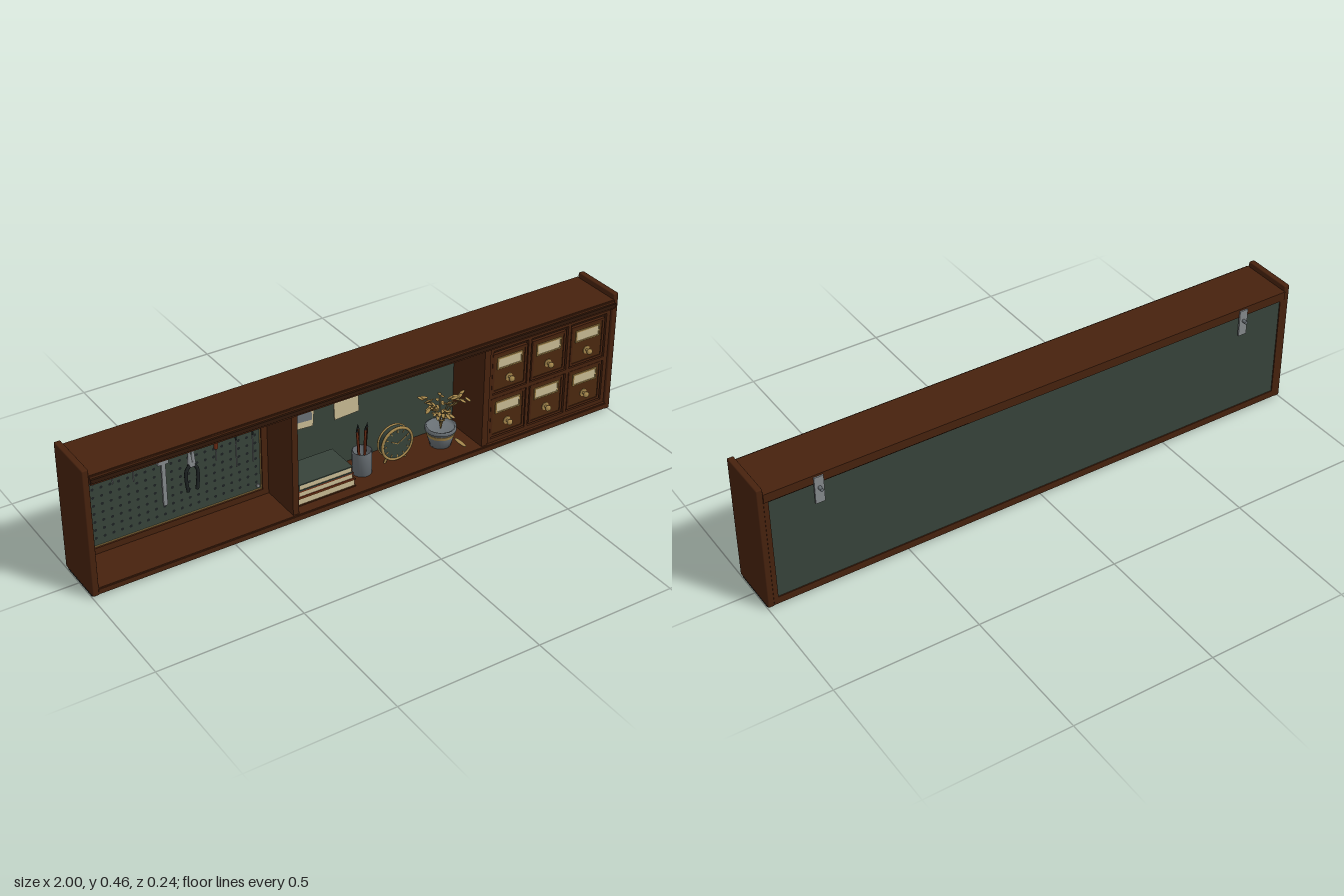
import * as THREE from 'three';
import { mergeGeometries } from 'three/addons/utils/BufferGeometryUtils.js';
import { RoundedBoxGeometry } from 'three/addons/geometries/RoundedBoxGeometry.js';

const mat = (name, color, side = THREE.FrontSide) => {
  const m = new THREE.MeshStandardMaterial({ color, side });
  m.name = name;
  return m;
};

export function createModel() {
  const wood = mat('walnut', 0x47220e), darkWood = mat('dark walnut', 0x2e1608);
  const drawerWood = mat('drawer wood', 0x4c290f), handleRed = mat('red handle', 0x6e2c14);
  const green = mat('green panel', 0x37433a), steel = mat('steel', 0x85898c);
  const iron = mat('black iron', 0x1d2223), slate = mat('slate', 0x6a7176);
  const brass = mat('brass', 0xa5874c, THREE.DoubleSide), cream = mat('cream paper', 0xc9bb93);

  const model = new THREE.Group();
  model.name = 'wallCabinet';
  const group = (name, parent = model) => {
    const g = new THREE.Group();
    g.name = name;
    parent.add(g);
    return g;
  };
  const add = (name, geo, m, x = 0, y = 0, z = 0, parent = model) => {
    const mesh = new THREE.Mesh(geo, m);
    mesh.name = name;
    mesh.position.set(x, y, z);
    parent.add(mesh);
    return mesh;
  };
  // box given by its limits
  const block = (name, m, x0, x1, y0, y1, z0, z1, parent = model) =>
    add(name, new THREE.BoxGeometry(x1 - x0, y1 - y0, z1 - z0), m,
      (x0 + x1) / 2, (y0 + y1) / 2, (z0 + z1) / 2, parent);
  const rod = (r0, r1, h, n = 12) => new THREE.CylinderGeometry(r0, r1, h, n);
  const rodZ = (r, h, n = 16) => rod(r, r, h, n).rotateX(Math.PI / 2);
  // four strips around a rectangle
  const border = (name, m, x0, x1, y0, y1, z0, z1, w, parent = model) => {
    const g = group(name, parent);
    block('topStrip', m, x0, x1, y1 - w, y1, z0, z1, g);
    block('bottomStrip', m, x0, x1, y0, y0 + w, z0, z1, g);
    block('sideStrip', m, x0, x0 + w, y0 + w, y1 - w, z0, z1, g);
    block('sideStrip', m, x1 - w, x1, y0 + w, y1 - w, z0, z1, g);
  };

  // carcass
  for (const s of [-1, 1]) {
    add('sidePanel', new RoundedBoxGeometry(0.022, 0.457, 0.19, 2, 0.004), wood, s * 0.989, 0.2345, 0.002);
    block('footPad', iron, s * 0.989 - 0.009, s * 0.989 + 0.009, 0, 0.007, -0.08, 0.084);
  }
  block('topBoard', wood, -0.98, 0.98, 0.413, 0.444, -0.097, 0.1);
  block('topRail', wood, -0.98, 0.98, 0.411, 0.441, 0.1, 0.105);
  block('topBead', darkWood, -0.98, 0.98, 0.42, 0.434, 0.105, 0.112);
  block('bottomBoard', wood, -0.98, 0.98, 0.01, 0.034, -0.093, 0.097);
  block('bottomBead', wood, -0.98, 0.98, 0.022, 0.03, 0.097, 0.1);
  block('backPanel', green, -0.98, 0.98, 0.034, 0.413, -0.09, -0.08);
  border('backFrame', wood, -0.98, 0.98, 0.02, 0.425, -0.094, -0.089, 0.016);
  block('leftDivider', wood, -0.29, -0.268, 0.034, 0.413, -0.08, 0.092);
  block('rightDivider', wood, 0.45, 0.474, 0.034, 0.413, -0.08, 0.092);

  // wall hangers
  for (const x of [-0.8, 0.8]) {
    const h = group('wallHanger');
    block('plate', steel, x - 0.016, x + 0.016, 0.34, 0.437, -0.102, -0.096, h);
    add('stud', rodZ(0.006, 0.018), slate, x, 0.397, -0.109, h);
  }

  // pegboard with holes
  const peg = group('pegboard');
  block('board', green, -0.95, -0.305, 0.055, 0.395, -0.08, -0.068, peg);
  border('frame', wood, -0.972, -0.292, 0.036, 0.41, -0.08, -0.058, 0.022, peg);
  border('trim', brass, -0.952, -0.312, 0.056, 0.39, -0.068, -0.064, 0.004, peg);
  const holes = [];
  for (let i = 0; i < 21; i++)
    for (let j = 0; j < 10; j++)
      holes.push(new THREE.CircleGeometry(0.0055, 10).translate(-0.932 + i * 0.03, 0.088 + j * 0.03, -0.0672));
  add('holes', mergeGeometries(holes), iron, 0, 0, 0, peg);
  for (const x of [-0.937, -0.327])
    for (const y of [0.073, 0.375]) add('screw', rodZ(0.006, 0.006), steel, x, y, -0.066, peg);

  // hanging tools
  const tools = group('tools');
  const TZ = -0.05;
  const hook = x => add('hook', rodZ(0.003, 0.03, 8), steel, x, 0.368, -0.055, tools);
  const driver = (x, top, hl, sl, r, m) => {
    hook(x);
    add('handle', rod(r, r * 0.75, hl), m, x, top - hl / 2, TZ, tools);
    add('shaft', rod(0.0025, 0.0025, sl, 8), steel, x, top - hl - sl / 2, TZ, tools);
  };
  [-0.905, -0.84, -0.77].forEach((x, i) => {
    driver(x, 0.365, 0.05 + i * 0.005, 0.02 + i * 0.012, 0.009, iron);
    add('ring', new THREE.TorusGeometry(0.012, 0.0025, 6, 16), steel, x, 0.35, TZ + 0.01, tools);
  });
  driver(-0.482, 0.36, 0.08, 0.045, 0.009, handleRed);
  [-0.41, -0.35].forEach(x => driver(x, 0.355, 0.07, 0.1, 0.004, iron));
  hook(-0.668);
  block('caliperBeam', steel, -0.675, -0.661, 0.135, 0.365, TZ - 0.004, TZ + 0.004, tools);
  block('caliperJaw', steel, -0.7, -0.636, 0.325, 0.34, TZ - 0.004, TZ + 0.005, tools);
  block('caliperSlide', steel, -0.688, -0.652, 0.29, 0.315, TZ - 0.006, TZ + 0.007, tools);
  hook(-0.57);
  const pliers = group('pliers', tools);
  for (const s of [-1, 1]) {
    const arm = new THREE.CatmullRomCurve3([[0, 0.255], [0.018, 0.235], [0.021, 0.2], [0.016, 0.155]]
      .map(([x, y]) => new THREE.Vector3(-0.57 + s * x, y, TZ)));
    add('grip', new THREE.TubeGeometry(arm, 12, 0.006, 8), iron, 0, 0, 0, pliers);
    add('jaw', rod(0.003, 0.009, 0.055, 8), steel, -0.57 + s * 0.006, 0.285, TZ, pliers);
  }
  add('pivot', rodZ(0.01, 0.014), steel, -0.57, 0.255, TZ, pliers);

  // pinned papers
  for (const [x, y, tilt, sketch] of [[-0.153, 0.285, -0.07, true], [0.017, 0.277, 0.05, false]]) {
    const p = group('pinnedPaper');
    p.position.set(x, y, -0.076);
    p.rotation.z = tilt;
    block('sheet', cream, -0.047, 0.047, -0.06, 0.06, -0.002, 0.001, p);
    add('pin', new THREE.SphereGeometry(0.006, 10, 8), brass, 0, 0.056, 0.005, p);
    if (sketch) add('sketch', new THREE.CircleGeometry(0.037, 20, 0, Math.PI).scale(1.1, 1, 1), slate, 0, -0.022, 0.002, p);
    if (sketch) block('sketchBase', slate, -0.04, 0.04, -0.035, -0.022, 0.001, 0.002, p);
  }

  // stacked books: covers around a paper block
  [[-0.258, -0.032, 0.034, 0.03, drawerWood], [-0.25, -0.04, 0.064, 0.026, handleRed],
    [-0.248, -0.045, 0.09, 0.026, green]].forEach(([x0, x1, y, h, cover]) => {
    const b = group('book');
    block('pages', cream, x0 + 0.004, x1 - 0.003, y + 0.004, y + h - 0.004, -0.06, 0.057, b);
    block('lowerCover', cover, x0, x1, y, y + 0.004, -0.064, 0.06, b);
    block('upperCover', cover, x0, x1, y + h - 0.004, y + h, -0.064, 0.06, b);
    block('spine', cover, x0, x0 + 0.004, y, y + h, -0.064, 0.06, b);
  });

  // pencil cup
  const cup = group('pencilCup');
  const profile = pts => pts.map(p => new THREE.Vector2(...p));
  add('cup', new THREE.LatheGeometry(profile([[0, 0], [0.033, 0], [0.034, 0.085], [0.03, 0.085], [0.029, 0.01], [0, 0.01]]), 24),
    slate, 0.03, 0.034, 0, cup);
  [[-0.016, 0.004], [-0.006, -0.012], [0.005, 0.01], [0.016, -0.004]].forEach(([x, z], i) => {
    const pen = add('pencil', rod(0.0045, 0.0045, 0.14, 6), i % 2 ? darkWood : handleRed, 0.03 + x, 0.13, z, cup);
    pen.rotation.z = -x * 5;
    add('tip', new THREE.ConeGeometry(0.0045, 0.018, 6), iron, 0, 0.079, 0, pen);
  });

  // round clock
  const clock = group('clock');
  clock.position.set(0.16, 0.107, 0);
  add('body', rodZ(0.058, 0.03, 32), green, 0, 0, 0, clock);
  add('rim', new THREE.TorusGeometry(0.059, 0.005, 8, 36), brass, 0, 0, 0.014, clock);
  add('backRim', new THREE.TorusGeometry(0.058, 0.004, 8, 36), brass, 0, 0, -0.013, clock);
  for (let i = 0; i < 12; i++) {
    const a = i * Math.PI / 6;
    add('tick', new THREE.BoxGeometry(0.003, 0.009, 0.002), brass, Math.sin(a) * 0.047, Math.cos(a) * 0.047, 0.016, clock).rotation.z = -a;
  }
  for (const [a, l] of [[1.05, 0.04], [-1.05, 0.028]])
    add('hand', new THREE.BoxGeometry(0.003, l, 0.002).translate(0, l / 2, 0), brass, 0, 0, 0.017, clock).rotation.z = -a;
  for (const s of [-1, 1]) add('foot', rod(0.005, 0.004, 0.022, 8), brass, s * 0.036, -0.062, 0, clock).rotation.z = s * 0.5;

  // potted plant
  const plant = group('plant');
  add('pot', new THREE.LatheGeometry(profile([[0, 0], [0.036, 0], [0.046, 0.035], [0.05, 0.06], [0.054, 0.06], [0.054, 0.072],
    [0.047, 0.072], [0.045, 0.06], [0, 0.06]]), 24), slate, 0.345, 0.034, 0, plant);
  add('potBand', rod(0.0505, 0.048, 0.012, 24), brass, 0.345, 0.08, 0, plant);
  const leaf = new THREE.SphereGeometry(0.011, 8, 5).scale(1.25, 0.2, 0.6);
  for (let i = 0; i < 9; i++) {
    const a = i * 2.4 + 0.4, reach = 0.045 + (i % 3) * 0.018, top = 0.215 - (i % 4) * 0.018;
    const stem = new THREE.QuadraticBezierCurve3(new THREE.Vector3(0.345, 0.095, 0),
      new THREE.Vector3(0.345 + Math.cos(a) * reach * 0.3, top, Math.sin(a) * reach * 0.3),
      new THREE.Vector3(0.345 + Math.cos(a) * reach * 1.15, top, Math.sin(a) * reach));
    add('stem', new THREE.TubeGeometry(stem, 8, 0.0016, 5), brass, 0, 0, 0, plant);
    for (let k = 3; k <= 8; k++) {
      const p = stem.getPoint(k / 8), off = k === 8 ? 0 : (k % 2 ? 0.009 : -0.009);
      const l = add('leaf', leaf, brass, p.x - Math.sin(a) * off, p.y, p.z + Math.cos(a) * off, plant);
      l.rotation.set(0.3 * Math.sin(k), -a, 0.5 * Math.cos(k + i));
    }
  }
  add('lowLeaf', new THREE.SphereGeometry(0.035, 8, 5).scale(0.25, 0.08, 1), brass, 0.367, 0.076, 0.084, plant);

  // drawer cabinet
  block('drawerCarcass', darkWood, 0.474, 0.978, 0.034, 0.405, -0.08, 0.078);
  border('drawerSurround', wood, 0.474, 0.978, 0.034, 0.405, 0.078, 0.088, 0.015);
  block('middleRail', wood, 0.489, 0.963, 0.206, 0.221, 0.078, 0.088);
  for (const x of [0.638, 0.805]) block('drawerPost', wood, x - 0.006, x + 0.006, 0.049, 0.39, 0.078, 0.088);
  const knob = new THREE.LatheGeometry(profile([[0, 0], [0.005, 0], [0.004, 0.009], [0.01, 0.013], [0.011, 0.018], [0.007, 0.023], [0, 0.024]]), 16)
    .rotateX(Math.PI / 2);
  for (const x of [0.556, 0.719, 0.884])
    for (const y of [0.3, 0.129]) {
      const d = group('drawer');
      block('front', drawerWood, x - 0.069, x + 0.069, y - 0.07, y + 0.076, 0.078, 0.086, d);
      border('frontEdge', wood, x - 0.071, x + 0.071, y - 0.073, y + 0.078, 0.078, 0.089, 0.009, d);
      block('label', cream, x - 0.046, x + 0.046, y + 0.02, y + 0.054, 0.086, 0.088, d);
      border('labelHolder', brass, x - 0.051, x + 0.051, y + 0.015, y + 0.059, 0.086, 0.09, 0.005, d);
      add('knobPlate', rodZ(0.014, 0.003, 20), brass, x, y - 0.027, 0.087, d);
      add('knob', knob, brass, x, y - 0.027, 0.088, d);
    }
  return model;
}
